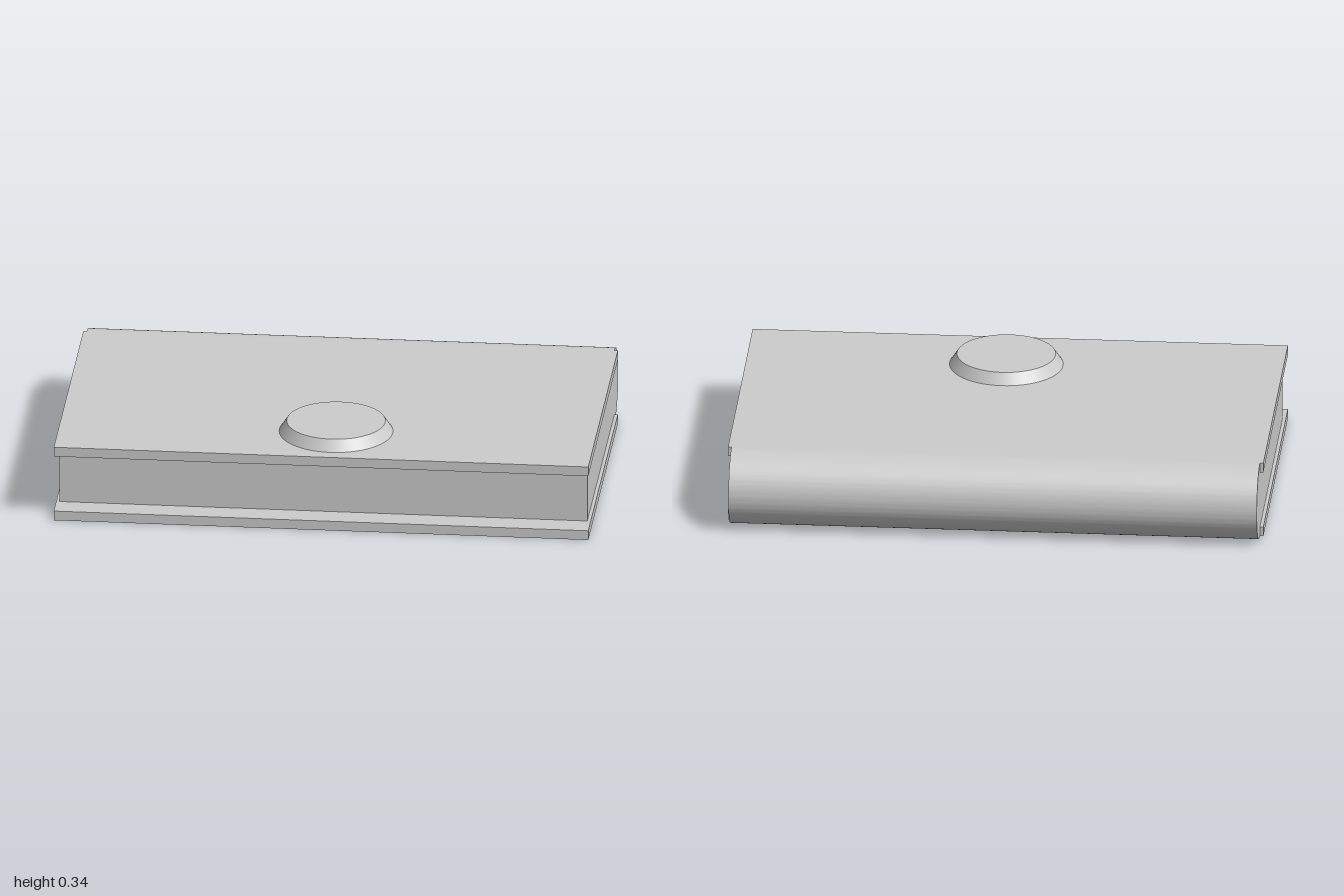
import * as THREE from 'three';
import { toCreasedNormals } from 'three/addons/utils/BufferGeometryUtils.js';

const HEIGHT = 0.294;      // full thickness of the book
const COVER = 0.037;       // cover board thickness
const SPINE_Z = -0.498;    // where the covers meet the rounded spine
const FRONT_Z = 0.645;
const PAGES_Z = 0.55;
const HALF_WIDTH = 0.987;  // pages and spine sit just inside the covers

export function createModel() {
  const group = new THREE.Group();
  const grey = new THREE.MeshStandardMaterial({ color: 0xcccccc });
  grey.name = 'light grey';

  const add = (name, geometry, x, y, z) => {
    const mesh = new THREE.Mesh(geometry, grey);
    mesh.name = name;
    mesh.position.set(x, y, z);
    group.add(mesh);
    return mesh;
  };

  // Page block and half-round spine, one side profile extruded across the width
  const r = HEIGHT / 2;
  const profile = new THREE.Shape();
  profile.moveTo(SPINE_Z, HEIGHT);
  profile.absarc(SPINE_Z, r, r, Math.PI / 2, Math.PI * 1.5, false);
  profile.lineTo(SPINE_Z, COVER);
  profile.lineTo(PAGES_Z, COVER);
  profile.lineTo(PAGES_Z, HEIGHT - COVER);
  profile.lineTo(SPINE_Z, HEIGHT - COVER);
  profile.closePath();
  const body = toCreasedNormals(new THREE.ExtrudeGeometry(profile, {
    depth: HALF_WIDTH * 2, bevelEnabled: false, curveSegments: 32,
  }), 0.5);
  body.rotateY(-Math.PI / 2);
  add('pagesAndSpine', body, HALF_WIDTH, 0, 0);

  // Top and bottom cover boards
  const depth = FRONT_Z - SPINE_Z;
  const cover = new THREE.BoxGeometry(2, COVER, depth);
  const coverZ = (FRONT_Z + SPINE_Z) / 2;
  add('bottomCover', cover, 0, COVER / 2, coverZ);
  add('topCover', cover, 0, HEIGHT - COVER / 2, coverZ);

  // Tapered round boss on the top cover
  const bossHeight = 0.042;
  add('roundBoss', new THREE.CylinderGeometry(0.184, 0.212, bossHeight, 64),
    0.031, HEIGHT + bossHeight / 2, 0.384);

  return group;
}
